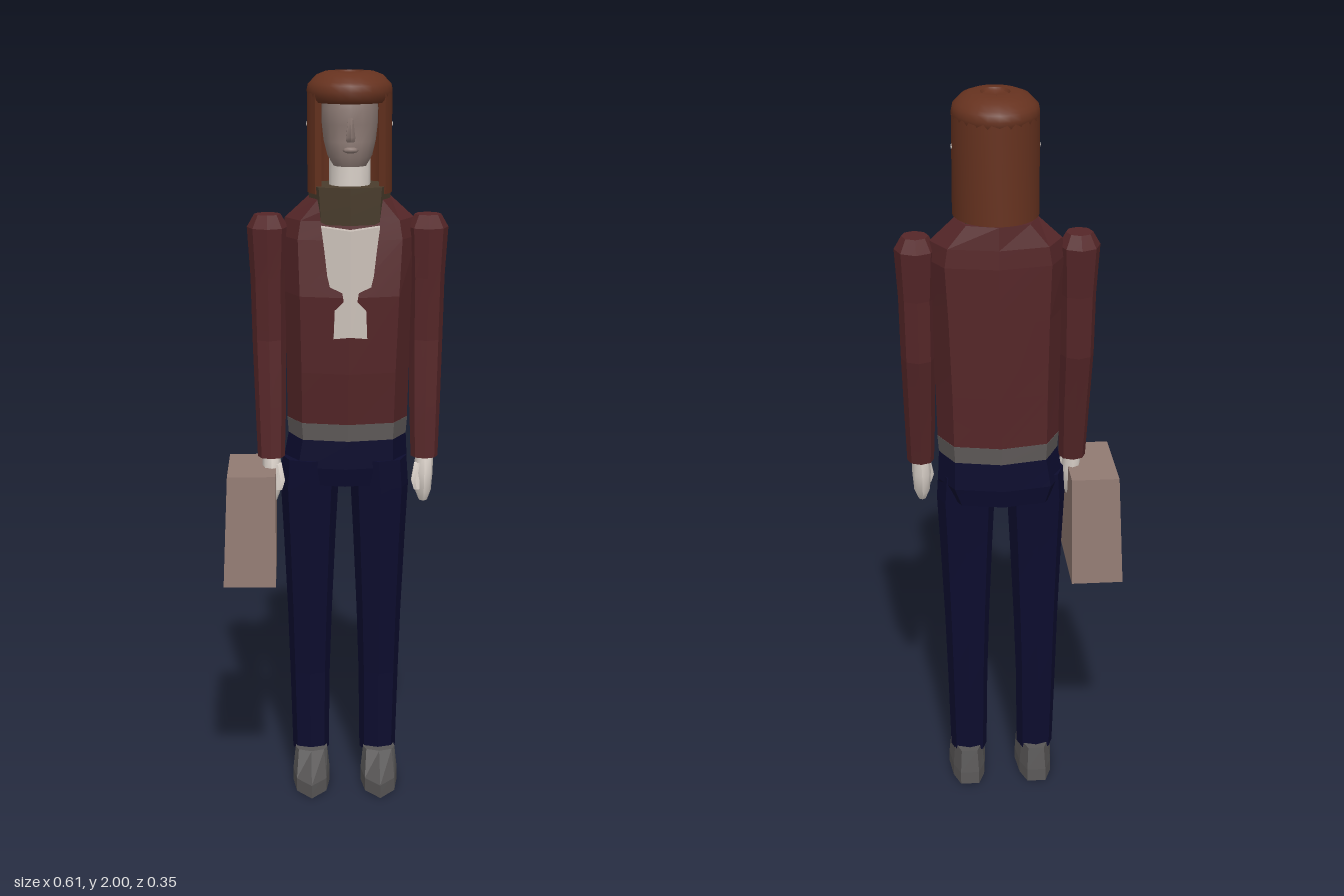
import * as THREE from 'three';
import { toCreasedNormals } from 'three/addons/utils/BufferGeometryUtils.js';

const mat = (name, color) => {
  const m = new THREE.MeshStandardMaterial({ color });
  m.name = name;
  return m;
};

// Closed skin over stacked loops of [x, y, z], bottom to top, corners running from +z towards +x
function skin(loops, crease = 0.05) {
  const n = loops[0].length, pos = [], idx = [];
  loops.forEach((l) => l.forEach((p) => pos.push(...p)));
  for (let j = 0; j < loops.length - 1; j++) {
    for (let i = 0; i < n; i++) {
      const a = j * n + i, b = j * n + (i + 1) % n;
      idx.push(a, b, b + n, a, b + n, a + n);
    }
  }
  const last = (loops.length - 1) * n;
  for (let i = 1; i < n - 1; i++) {
    idx.push(0, i + 1, i, last, last + i, last + i + 1);
  }
  const g = new THREE.BufferGeometry();
  g.setAttribute('position', new THREE.Float32BufferAttribute(pos, 3));
  g.setIndex(idx);
  return toCreasedNormals(g, crease);
}

// Rounded cross-sections [y, cx, cz, rx, rz]; lower power makes them squarer
function rings(list, n = 8, power = 1, crease = 0.05) {
  const f = (v) => Math.sign(v) * Math.abs(v) ** power;
  return skin(list.map(([y, cx, cz, rx, rz]) =>
    Array.from({ length: n }, (_, i) => {
      const a = (i / n) * Math.PI * 2;
      return [cx + rx * f(Math.sin(a)), y, cz + rz * f(Math.cos(a))];
    })), crease);
}

export function createModel() {
  const model = new THREE.Group();
  model.name = 'standingFigure';
  const M = {
    sweater: mat('sweater red', 0x552628),
    jeans: mat('jeans navy', 0x0c0c2e),
    hair: mat('hair brown', 0x66321f),
    shoe: mat('shoe grey', 0x585656),
    hem: mat('hem grey', 0x5e5958),
    collar: mat('collar olive', 0x4a3d2d),
    skin: mat('pale skin', 0xded5cd),
    shirt: mat('shirt white', 0xcbc1b9),
    face: mat('face taupe', 0x8c7a74),
    suitcase: mat('suitcase tan', 0x917a72),
  };
  const add = (name, geo, m) => {
    const mesh = new THREE.Mesh(geo, m);
    mesh.name = name;
    model.add(mesh);
    return mesh;
  };
  const C = 0.035; // middle of the upper body

  // Torso
  add('sweater', rings([
    [1.055, 0.03, -0.043, 0.165, 0.113],
    [1.2, 0.031, -0.035, 0.168, 0.123],
    [1.41, 0.033, -0.03, 0.176, 0.13],
    [1.56, C, -0.042, 0.185, 0.117],
    [1.61, C, -0.045, 0.175, 0.11],
    [1.67, C, -0.042, 0.11, 0.105],
  ], 8, 0.8), M.sweater);
  add('sweaterHem', rings([
    [1.01, 0.03, -0.043, 0.162, 0.112],
    [1.057, 0.03, -0.043, 0.166, 0.114],
  ], 8, 0.8), M.hem);
  add('collar', rings([
    [1.6, C, -0.025, 0.105, 0.1],
    [1.65, C, -0.025, 0.108, 0.104],
    [1.7, C, -0.025, 0.113, 0.106],
  ], 8, 0.85), M.collar);

  // Shirt front, creased along its middle
  const half = [[0.078, 1.6], [0.07, 1.54], [0.062, 1.47], [0.055, 1.44], [0.022, 1.425],
    [0.018, 1.4], [0.042, 1.375], [0.045, 1.3]];
  const outline = [[0, 1.59], ...half, [0, 1.305], ...half.map(([x, y]) => [-x, y]).reverse()];
  const side = (s) => {
    const pts = [[0, 1.59], ...half, [0, 1.305]].map(([x, y]) => new THREE.Vector2(s * x, y));
    const g = new THREE.ExtrudeGeometry(new THREE.Shape(pts), { depth: 0.035, bevelEnabled: false });
    const p = g.attributes.position;
    for (let i = 0; i < p.count; i++) {
      const x = p.getX(i), y = p.getY(i);
      p.setXYZ(i, x + C, y, p.getZ(i) + 0.078 - 0.17 * Math.abs(x) - (1.6 - y) * 0.015);
    }
    g.computeVertexNormals();
    return g;
  };
  for (const s of [-1, 1]) add(s > 0 ? 'leftShirtFront' : 'rightShirtFront', side(s), M.shirt);

  // Hips
  add('hips', rings([
    [0.88, 0.022, -0.045, 0.15, 0.1],
    [0.93, 0.024, -0.045, 0.172, 0.108],
    [1.015, 0.03, -0.043, 0.162, 0.108],
  ], 8, 0.8), M.jeans);

  for (const s of [-1, 1]) {
    const label = s > 0 ? 'left' : 'right';
    const at = (mid, list) => list.map(([y, off, ...r]) => [y, mid + s * off, ...r]);

    // Arm and hand
    add(label + 'Sleeve', rings(at(0.03, [
      [0.96, 0.21, 0.02, 0.037, 0.04],
      [1.1, 0.211, 0, 0.042, 0.047],
      [1.28, 0.214, -0.03, 0.046, 0.054],
      [1.45, 0.216, -0.03, 0.048, 0.056],
      [1.585, 0.217, -0.032, 0.056, 0.067],
      [1.62, 0.217, -0.032, 0.036, 0.042],
    ])), M.sweater);
    add(label + 'Hand', rings(at(0.03, [
      [0.84, 0.207, 0.035, 0.012, 0.02],
      [0.865, 0.207, 0.031, 0.022, 0.038],
      [0.92, 0.208, 0.029, 0.026, 0.045],
      [0.97, 0.21, 0.021, 0.024, 0.034],
    ]), 8, 1, 0.9), M.skin);
    add(label + 'Thumb', rings(at(0.03, [
      [0.875, 0.188, 0.06, 0.009, 0.01],
      [0.9, 0.184, 0.057, 0.013, 0.013],
      [0.945, 0.192, 0.045, 0.012, 0.014],
    ]), 6, 1, 0.9), M.skin);

    // Leg
    add(label + 'Leg', rings(at(0.022, [
      [0.085, 0.095, -0.043, 0.051, 0.053],
      [0.32, 0.097, -0.048, 0.056, 0.058],
      [0.5, 0.097, -0.042, 0.062, 0.063],
      [0.72, 0.097, -0.033, 0.072, 0.072],
      [0.87, 0.097, -0.03, 0.08, 0.079],
      [0.95, 0.092, -0.03, 0.08, 0.085],
    ]), 8, 0.85), M.jeans);

    // Shoe: pointed sole rising to the ankle
    const sx = 0.024 + s * 0.096;
    const loop = (y, w, toe, ball, heel) => [
      [0, toe], [w * 0.8, ball], [w, 0], [w * 0.85, heel * 0.6], [w * 0.5, heel],
      [-w * 0.5, heel], [-w * 0.85, heel * 0.6], [-w, 0], [-w * 0.8, ball],
    ].map(([x, z]) => [sx + x, y, z]);
    add(label + 'Shoe', skin([
      loop(0, 0.052, 0.142, 0.085, -0.13),
      loop(0.035, 0.052, 0.136, 0.08, -0.127),
      loop(0.1, 0.045, 0.04, 0.025, -0.115),
    ]), M.shoe);

    // Ear tip showing through the hair
    const ear = add(label + 'Ear', new THREE.SphereGeometry(0.012, 8, 6), M.skin);
    ear.position.set(C + s * 0.105, 1.86, -0.045);
  }

  // Neck and face
  add('neck', rings([
    [1.62, C, -0.03, 0.055, 0.06],
    [1.77, C, -0.025, 0.056, 0.065],
  ], 12, 1, 0.9), M.skin);
  add('face', rings([
    [1.755, C, 0.005, 0.045, 0.06],
    [1.78, C, -0.01, 0.06, 0.088],
    [1.82, C, -0.02, 0.07, 0.1],
    [1.865, C, -0.02, 0.075, 0.096],
    [1.905, C, -0.02, 0.076, 0.108],
    [1.95, C, -0.025, 0.07, 0.09],
  ], 16, 0.9, 0.9), M.face);
  add('nose', rings([
    [1.822, C, 0.078, 0.013, 0.014],
    [1.835, C, 0.082, 0.014, 0.02],
    [1.885, C, 0.075, 0.007, 0.009],
  ], 6, 1, 0.9), M.face);
  add('lips', new THREE.SphereGeometry(0.014, 8, 6).scale(1.5, 0.6, 0.8)
    .translate(C, 1.8, 0.078), M.face);

  // Hair hanging round the sides and back, open at the face
  const pts = [];
  const open = 0.96, steps = 24;
  for (const r of [1, 0.82]) {
    for (let i = 0; i <= steps; i++) {
      const k = r === 1 ? i : steps - i;
      const a = open + (k / steps) * (Math.PI * 2 - open * 2);
      pts.push(new THREE.Vector2(r * 0.114 * Math.sin(a), -r * 0.135 * Math.cos(a)));
    }
  }
  const curtain = new THREE.ExtrudeGeometry(new THREE.Shape(pts), { depth: 0.265, bevelEnabled: false });
  curtain.rotateX(-Math.PI / 2).translate(C, 1.68, -0.04);
  add('hairSides', toCreasedNormals(curtain, 0.6), M.hair);

  // Crown of the hair with a shallow dimple
  const crown = [[0, 1.925], [0.9, 1.92], [0.98, 1.93], [1, 1.95], [0.97, 1.967], [0.9, 1.975],
    [0.78, 1.99], [0.58, 1.999], [0.34, 2], [0.3, 1.993], [0, 1.991]];
  const cap = new THREE.LatheGeometry(crown.map(([r, y]) => new THREE.Vector2(r, y)), 24);
  cap.scale(0.115, 1, 0.137).translate(C, 0, -0.04);
  add('hairCrown', toCreasedNormals(cap, 0.9), M.hair);

  // Suitcase, a little wider at the bottom
  const rect = (y, x0, x1, z0, z1) => [[x0, y, z1], [x1, y, z1], [x1, y, z0], [x0, y, z0]];
  add('suitcase', skin([
    rect(0.63, -0.31, -0.168, -0.125, 0.175),
    rect(0.935, -0.298, -0.167, -0.105, 0.16),
  ]), M.suitcase);

  return model;
}
